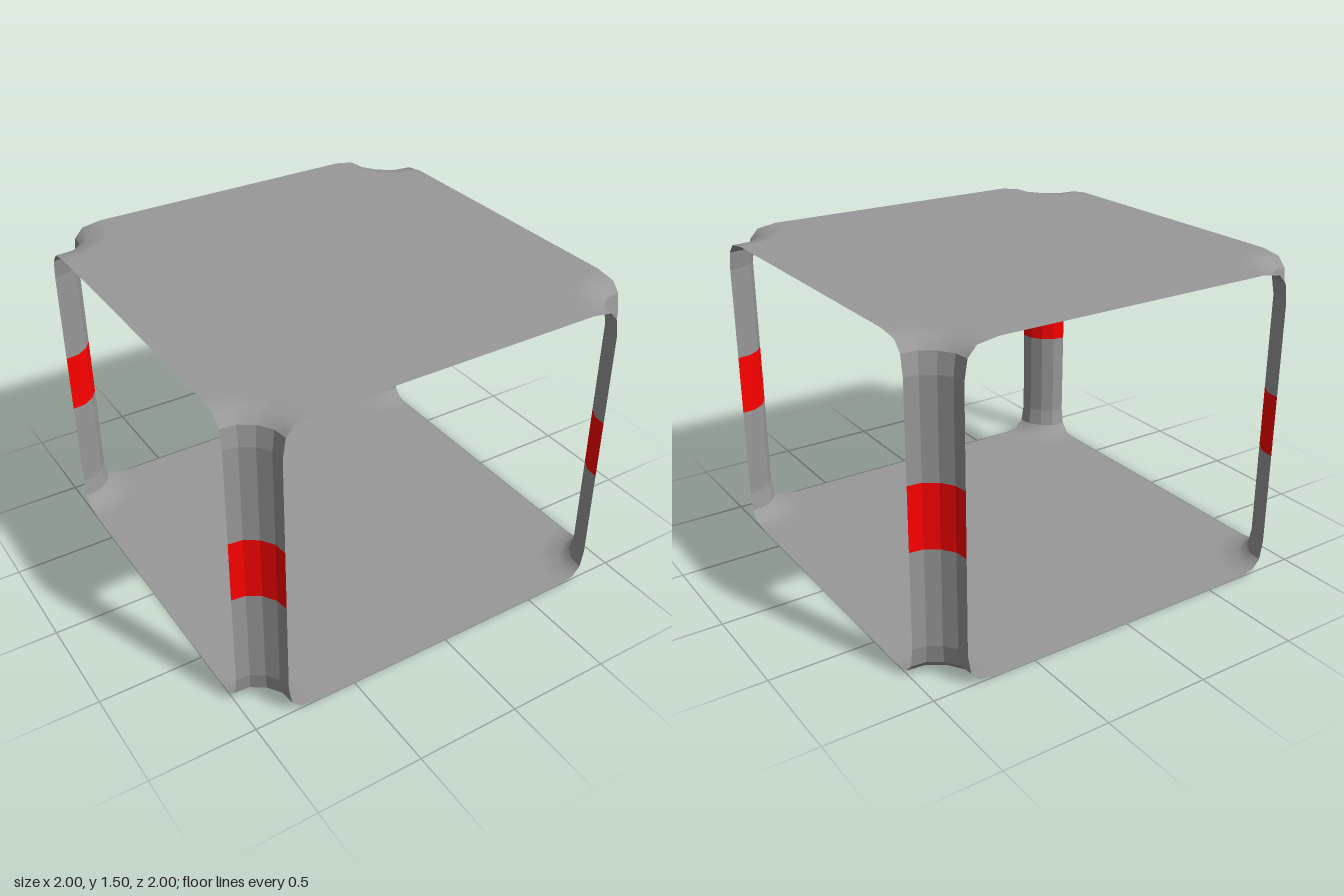
import * as THREE from 'three';
import { mergeGeometries, mergeVertices } from 'three/addons/utils/BufferGeometryUtils.js';

const HEIGHT = 1.5;
const RADIUS = 0.165;
// quarter-round column section, measured from the corner of the cell
const SECTION = [[0.165, 0], [0.158, 0.064], [0.12, 0.12], [0.064, 0.158], [0, 0.165]];

// section at the (+x, +z) corner, widened by an offset
function contour(offset) {
  const s = (RADIUS + offset) / RADIUS;
  return SECTION.map(([a, b]) => [1 - a * s, 1 - b * s]);
}

// surface through sections given as [offset, y]
function loft(rows) {
  const pos = [], index = [], n = SECTION.length;
  rows.forEach(([offset, y]) => contour(offset).forEach(([x, z]) => pos.push(x, y, z)));
  for (let r = 0; r < rows.length - 1; r++) {
    for (let k = 0; k < n - 1; k++) {
      const a = r * n + k, b = a + n;
      index.push(a, b, a + 1, a + 1, b, b + 1);
    }
  }
  const g = new THREE.BufferGeometry();
  g.setAttribute('position', new THREE.Float32BufferAttribute(pos, 3));
  g.setIndex(index);
  g.computeVertexNormals();
  return g;
}

// flat sheet with the four corners flaring upward
function deckGeometry() {
  const flare = [[0.155, 0], [0.057, 0.015], [0.015, 0.06]];
  const outline = [];
  const parts = [];
  for (let q = 0; q < 4; q++) {
    const turn = new THREE.Matrix4().makeRotationY(q * Math.PI / 2);
    parts.push(loft(flare).applyMatrix4(turn));
    contour(flare[0][0]).forEach(([x, z]) => {
      const p = new THREE.Vector3(x, 0, z).applyMatrix4(turn);
      outline.push(new THREE.Vector2(p.x, -p.z));
    });
  }
  const sheet = new THREE.ShapeGeometry(new THREE.Shape(outline));
  sheet.rotateX(-Math.PI / 2);
  parts.push(sheet);
  parts.forEach((g) => { g.deleteAttribute('normal'); g.deleteAttribute('uv'); });
  const deck = mergeVertices(mergeGeometries(parts), 1e-4);
  deck.computeVertexNormals();
  return deck;
}

export function createModel() {
  const model = new THREE.Group();
  const side = THREE.DoubleSide;
  const smooth = new THREE.MeshStandardMaterial({ color: 0x999999, side });
  const faceted = new THREE.MeshStandardMaterial({ color: 0x999999, side, flatShading: true });
  const red = new THREE.MeshStandardMaterial({ color: 0xff0000, side, flatShading: true });

  const add = (parent, name, geometry, material) => {
    const mesh = new THREE.Mesh(geometry, material);
    mesh.name = name;
    parent.add(mesh);
    return mesh;
  };

  // lower and upper sheets
  const deck = deckGeometry();
  add(model, 'lowerSheet', deck, smooth);
  const upper = add(model, 'upperSheet', deck, smooth);
  upper.rotation.x = Math.PI;
  upper.position.y = HEIGHT;

  // corner columns with a red band
  const lowerPart = loft([[0.015, 0.06], [0, 0.15], [0, 0.605]]);
  const band = loft([[0, 0.605], [0, 0.9]]);
  const upperPart = loft([[0, 0.9], [0, 1.35], [0.015, 1.44]]);
  ['FrontLeft', 'BackLeft', 'BackRight', 'FrontRight'].forEach((corner, q) => {
    const column = new THREE.Group();
    column.name = 'column' + corner;
    column.rotation.y = q * Math.PI / 2;
    add(column, 'columnLower', lowerPart, faceted);
    add(column, 'columnBand', band, red);
    add(column, 'columnUpper', upperPart, faceted);
    model.add(column);
  });

  return model;
}
